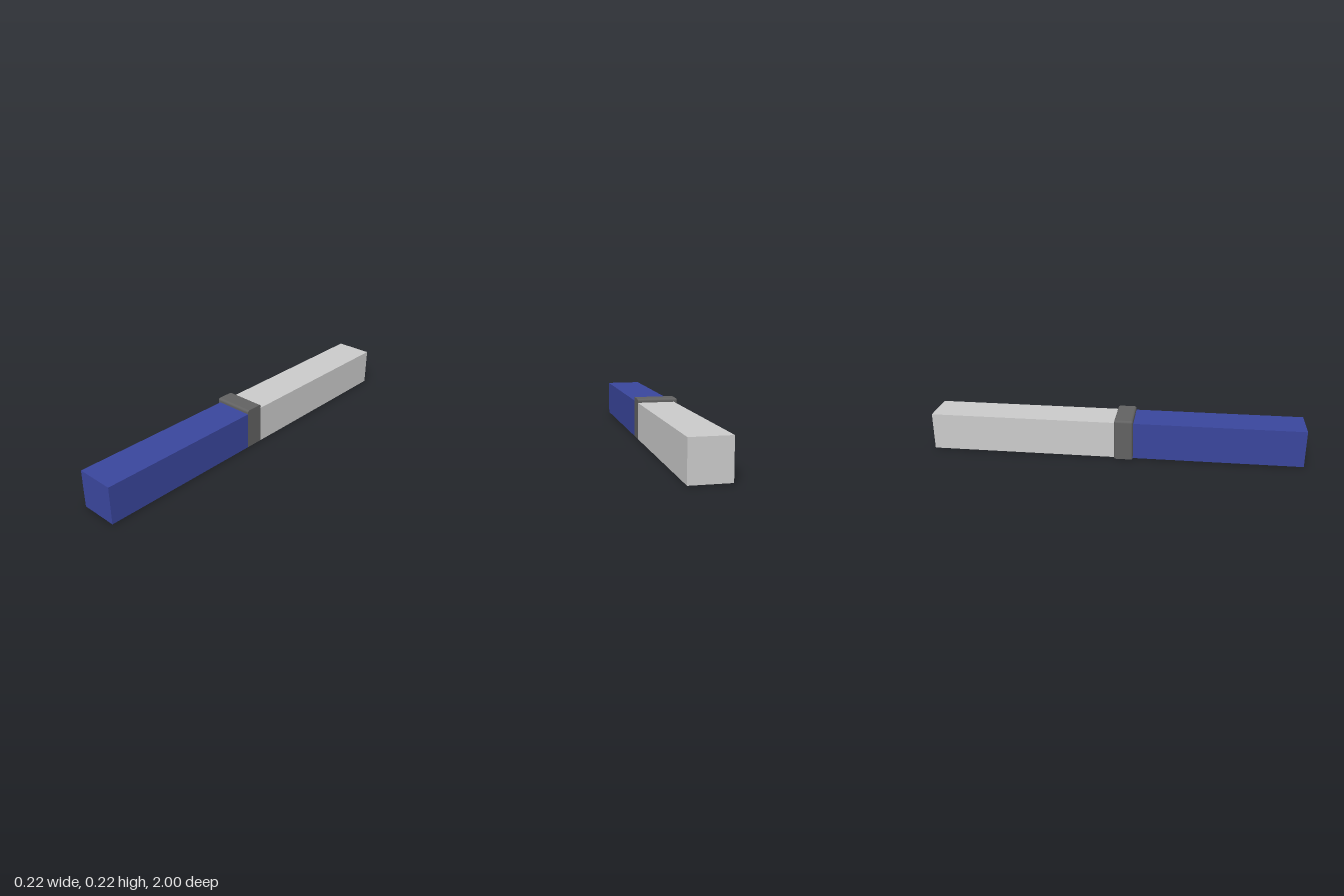
import * as THREE from 'three';
import { RoundedBoxGeometry } from 'three/addons/geometries/RoundedBoxGeometry.js';

const RIGHT = 0.11; // shared flush side plane

function addMesh(group, name, geometry, color) {
  const mesh = new THREE.Mesh(geometry, new THREE.MeshStandardMaterial({ color }));
  mesh.name = name;
  group.add(mesh);
  return mesh;
}

// Square bar running from z0 to z1
function addBar(group, name, z0, z1, color) {
  const bar = addMesh(group, name, new THREE.BoxGeometry(0.2, 0.2, z1 - z0), color);
  bar.position.set(RIGHT - 0.1, 0.1, (z0 + z1) / 2);
}

// Rounded block cut flat at the flush side and at the ground
function collarGeometry(r) {
  const geo = new RoundedBoxGeometry(0.22 + r, 0.22 + r, 0.1, 4, r);
  geo.translate(r / 2, 0.11 - r / 2, 0.05);
  const pos = geo.attributes.position, nor = geo.attributes.normal;
  const eps = 1e-5;
  for (let i = 0; i < pos.count; i += 3) {
    const tri = [i, i + 1, i + 2];
    const onSide = tri.every(k => pos.getX(k) > RIGHT - eps);
    const onBase = tri.every(k => pos.getY(k) < eps);
    for (const k of tri) {
      if (onSide) nor.setXYZ(k, 1, 0, 0);
      else if (onBase) nor.setXYZ(k, 0, -1, 0);
      pos.setX(k, Math.min(pos.getX(k), RIGHT));
      pos.setY(k, Math.max(pos.getY(k), 0));
    }
  }
  return geo;
}

export function createModel() {
  const model = new THREE.Group();
  model.name = 'joinedBar';
  addBar(model, 'frontBar', 0.1, 1, 0x3a469d);
  addBar(model, 'backBar', -1, 0, 0xcccccc);
  addMesh(model, 'collar', collarGeometry(0.012), 0x626262);
  return model;
}
